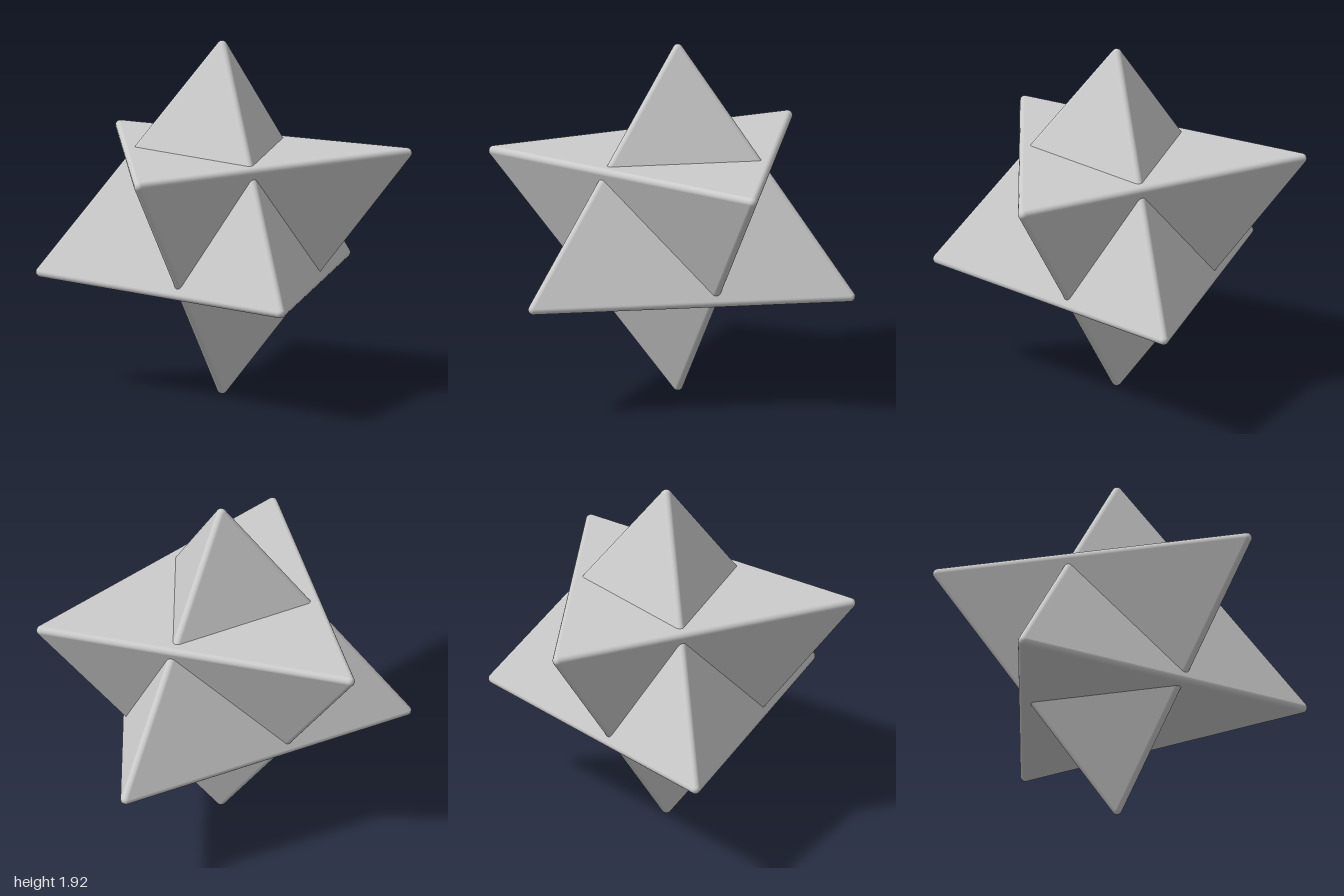
import * as THREE from 'three';

const RADIUS = 0.027; // edge rounding
const STEPS = 8;      // segments across each rounded edge

// Solid tetrahedron with rounded edges: a ball rolled around four core corners.
function roundedTetrahedron(corners) {
  const positions = [], normals = [];
  const middle = corners.reduce((s, c) => s.add(c), new THREE.Vector3()).multiplyScalar(0.25);

  // Outward normal of the face opposite each corner
  const faceNormals = corners.map((_, i) => {
    const [a, b, c] = corners.filter((_, j) => j !== i);
    const n = b.clone().sub(a).cross(c.clone().sub(a)).normalize();
    return n.dot(a.clone().sub(middle)) < 0 ? n.negate() : n;
  });

  const point = (corner, n) => ({ p: corners[corner].clone().addScaledVector(n, RADIUS), n });
  const triangle = (a, b, c) => {
    const facing = b.p.clone().sub(a.p).cross(c.p.clone().sub(a.p));
    const order = facing.dot(a.n.clone().add(b.n).add(c.n)) < 0 ? [a, c, b] : [a, b, c];
    for (const v of order) {
      positions.push(...v.p.toArray());
      normals.push(...v.n.toArray());
    }
  };
  const blend = (a, b, c, i, j) => new THREE.Vector3()
    .addScaledVector(a, STEPS - i - j).addScaledVector(b, i).addScaledVector(c, j).normalize();

  for (let i = 0; i < 4; i++) {
    const others = [0, 1, 2, 3].filter((j) => j !== i);

    // Flat face
    triangle(...others.map((j) => point(j, faceNormals[i])));

    // Ball-shaped corner
    const [a, b, c] = others.map((j) => faceNormals[j]);
    const at = (u, v) => point(i, blend(a, b, c, u, v));
    for (let u = 0; u < STEPS; u++) {
      for (let v = 0; v < STEPS - u; v++) {
        triangle(at(u, v), at(u + 1, v), at(u, v + 1));
        if (u + v < STEPS - 1) triangle(at(u + 1, v), at(u + 1, v + 1), at(u, v + 1));
      }
    }

    // Rounded edges
    for (let k = i + 1; k < 4; k++) {
      const [n0, n1] = others.filter((j) => j !== k).map((j) => faceNormals[j]);
      for (let s = 0; s < STEPS; s++) {
        const d0 = blend(n0, n1, n1, s, 0), d1 = blend(n0, n1, n1, s + 1, 0);
        triangle(point(i, d0), point(k, d0), point(k, d1));
        triangle(point(i, d0), point(k, d1), point(i, d1));
      }
    }
  }

  const geometry = new THREE.BufferGeometry();
  geometry.setAttribute('position', new THREE.Float32BufferAttribute(positions, 3));
  geometry.setAttribute('normal', new THREE.Float32BufferAttribute(normals, 3));
  return geometry;
}

// Core corners: a triangle at baseY, turned by angle from +z, and an apex
function pyramidCorners(baseY, apexY, angle) {
  const corners = [new THREE.Vector3(0, apexY, 0)];
  for (let i = 0; i < 3; i++) {
    const t = THREE.MathUtils.degToRad(angle + i * 120);
    corners.push(new THREE.Vector3(0.99 * Math.sin(t), baseY, 0.99 * Math.cos(t)));
  }
  return corners;
}

export function createModel() {
  const group = new THREE.Group();
  group.name = 'interlockedTetrahedra';
  const material = new THREE.MeshStandardMaterial({ color: 0xcccccc });

  const add = (name, bottom, top, pointsUp, angle) => {
    const low = bottom + RADIUS, high = top - RADIUS;
    const corners = pointsUp ? pyramidCorners(low, high, angle) : pyramidCorners(high, low, angle);
    const mesh = new THREE.Mesh(roundedTetrahedron(corners), material);
    mesh.name = name;
    mesh.position.set(0.049, 0, 0.016);
    group.add(mesh);
  };

  add('uprightTetrahedron', 0.597, 1.925, true, 180);
  add('invertedTetrahedron', 0, 1.328, false, 15);
  return group;
}
